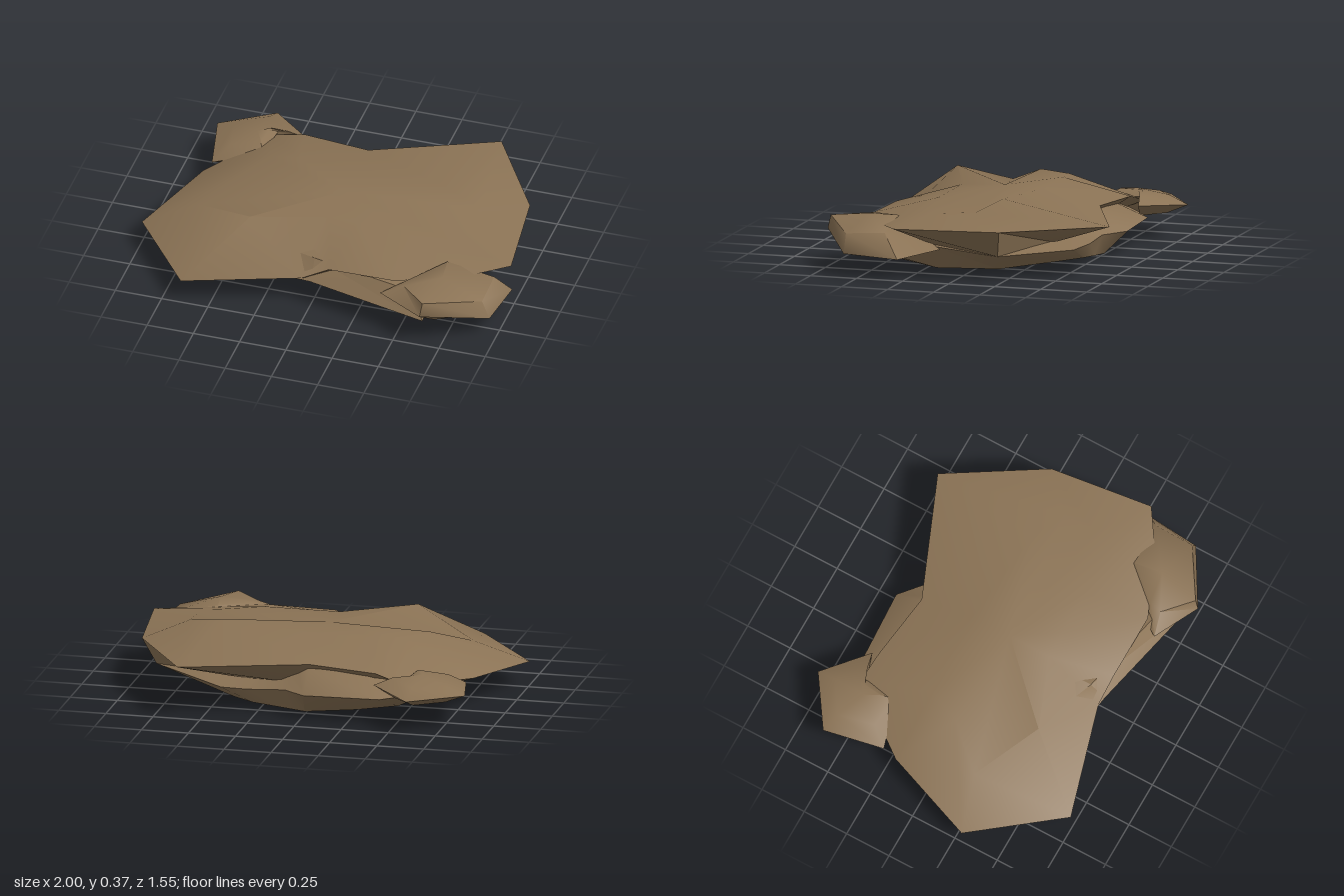
import * as THREE from 'three';
import { toCreasedNormals } from 'three/addons/utils/BufferGeometryUtils.js';

const stone = new THREE.MeshStandardMaterial({ color: 0x8b7355 });
stone.name = 'brown stone';

// Closed rock from three rings (top, rim, bottom), each fanned to a centre point
function rock(name, ribs, topCentre, bottomCentre, crease) {
  const n = ribs.length;
  const ring = (k) => ribs.map((r) => r[k]);
  const points = [...ring(1), ...ring(0), ...ring(2), topCentre, bottomCentre];
  const index = [];
  for (let i = 0; i < n; i++) {
    const j = (i + 1) % n;
    for (const r of [0, n]) {
      index.push(r + i, r + n + i, r + n + j, r + i, r + n + j, r + j);
    }
    index.push(3 * n, i, j, 3 * n + 1, 2 * n + j, 2 * n + i);
  }
  const geometry = new THREE.BufferGeometry();
  geometry.setAttribute('position', new THREE.Float32BufferAttribute(points.flat(), 3));
  geometry.setIndex(index);
  const mesh = new THREE.Mesh(toCreasedNormals(geometry, crease), stone);
  mesh.name = name;
  return mesh;
}

// Point drawn in towards a centre at a set height
const inset = (p, [cx, cz], k, y) => [cx + (p[0] - cx) * k, y, cz + (p[2] - cz) * k];

export function createModel() {
  const group = new THREE.Group();
  group.name = 'flatRock';

  // Upper slab, tilted up towards the back left; each row is rim, top, bottom
  const upper = [
    [[-1, 0.125, 0.29], [-0.72, 0.24, 0.21], [-0.66, 0.02, 0.25]],
    [[-0.65, 0.125, 0.74], [-0.38, 0.36, 0.4], [-0.62, 0.005, 0.46]],
    [[-0.05, 0.155, 0.57], [0, 0.335, 0.25], [-0.05, 0.03, 0.36]],
    [[0.1, 0.245, 0.578], [0.15, 0.335, 0.25], [0.1, 0.06, 0.34]],
    [[0.46, 0.25, 0.58], [0.4, 0.335, 0.25], [0.36, 0.1, 0.33]],
    [[0.82, 0.255, 0.42], [0.62, 0.315, 0.22], [0.5, 0.12, 0.3]],
    [[1, 0.27, 0.3], [0.72, 0.315, 0.12], [0.62, 0.13, 0.21]],
    [[0.93, 0.27, -0.25], [0.72, 0.33, -0.06], [0.86, 0.13, -0.22]],
    [[0.62, 0.275, -0.75], [0.52, 0.37, -0.14], [0.37, 0.13, -0.37]],
    [[-0.02, 0.26, -0.49], [0, 0.34, -0.2], [0, 0.1, -0.32]],
    [[-0.38, 0.25, -0.54], [-0.3, 0.345, -0.2], [-0.3, 0.1, -0.32]],
    [[-0.55, 0.2, -0.56], [-0.46, 0.335, -0.18], [-0.48, 0.1, -0.3]],
    [[-0.82, 0.16, -0.2], [-0.54, 0.335, 0], [-0.62, 0.06, -0.05]],
  ];
  group.add(rock('upperSlab', upper, [0, 0.345, 0.02], [0, 0.04, 0.05], 0.85));

  // Lower slab, steep at the front and undercut on the left; rim, bottom, top inset, top height
  const lower = [
    [[-0.84, 0.13, 0.1], [-0.6, 0.02, 0.07], 0.6, 0.2],
    [[-0.5, 0.12, 0.5], [-0.4, 0.02, 0.4], 0.7, 0.2],
    [[0, 0.15, 0.58], [0, 0.02, 0.4], 0.86, 0.245],
    [[0.65, 0.13, 0.72], [0.45, 0.015, 0.46], 0.86, 0.235],
    [[0.64, 0.125, 0.22], [0.58, 0, 0.2], 0.8, 0.16],
    [[0.86, 0.13, -0.22], [0.62, 0.02, -0.15], 0.75, 0.16],
    [[0.45, 0.11, -0.5], [0.4, 0.04, -0.42], 0.6, 0.16],
    [[0.3, 0.12, -0.54], [0.28, 0.04, -0.5], 0.6, 0.18],
    [[0.1, 0.13, -0.54], [0.1, 0.02, -0.5], 0.7, 0.22],
    [[-0.02, 0.135, -0.64], [0, 0.015, -0.52], 0.75, 0.23],
    [[-0.42, 0.135, -0.62], [-0.26, 0.015, -0.42], 0.75, 0.23],
    [[-0.65, 0.14, -0.45], [-0.45, 0.02, -0.32], 0.7, 0.2],
  ].map(([rim, bottom, k, y]) => [rim, inset(rim, [0, 0], k, y), bottom]);
  group.add(rock('lowerSlab', lower, [0, 0.23, 0], [0, 0.02, 0], 0.9));

  // Small rock on the back right corner; rim and top height
  const backCentre = [-0.62, -0.52];
  const back = [
    [[-0.87, 0.18, -0.6], 0.215], [[-0.8, 0.16, -0.28], 0.225], [[-0.55, 0.22, -0.35], 0.25],
    [[-0.53, 0.22, -0.56], 0.25], [[-0.38, 0.2, -0.58], 0.24], [[-0.6, 0.18, -0.78], 0.225],
  ].map(([p, y]) => [p, inset(p, backCentre, 0.6, y), inset(p, backCentre, 0.55, 0.13)]);
  group.add(rock('backSmallRock', back, [-0.62, 0.25, -0.5], [-0.62, 0.11, -0.52], 0.8));

  // Small rock on the front left corner, wider below; rim and top
  const front = [
    [[0.4, 0.21, 0.65], [0.52, 0.255, 0.62]],
    [[0.65, 0.19, 0.77], [0.66, 0.262, 0.75]],
    [[0.97, 0.12, 0.58], [0.93, 0.22, 0.58]],
    [[1, 0.11, 0.28], [0.93, 0.235, 0.37]],
    [[0.65, 0.11, 0.16], [0.68, 0.285, 0.38]],
    [[0.47, 0.2, 0.55], [0.54, 0.265, 0.55]],
  ].map(([rim, top]) => [rim, top, inset(rim, [0.74, 0.48], 0.55, 0.095)]);
  group.add(rock('frontSmallRock', front, [0.7, 0.29, 0.53], [0.74, 0.085, 0.45], 0.95));

  return group;
}
